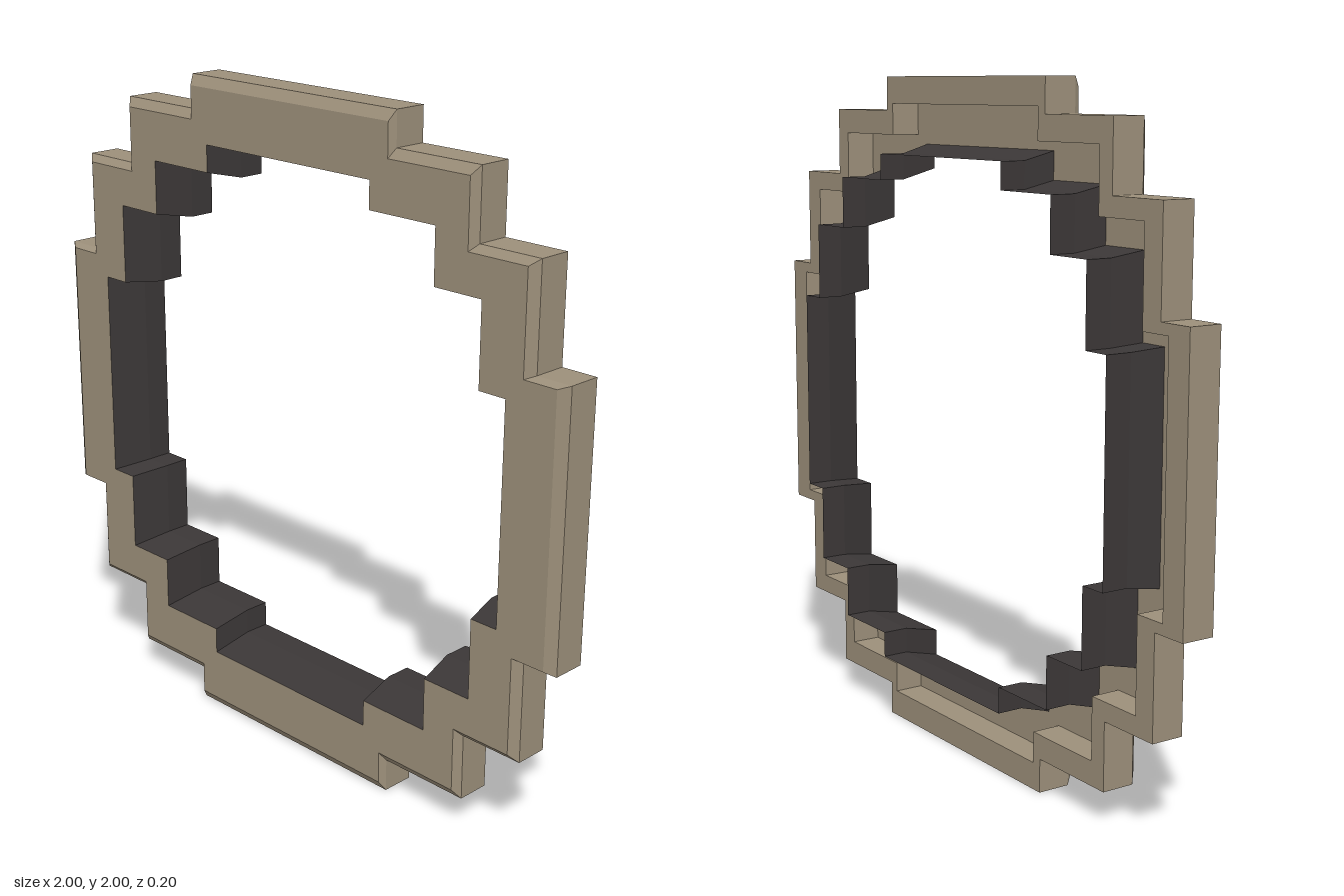
import * as THREE from 'three';

// One quarter of the stepped outline; mirrored below into a full loop
const QUARTER = [[1, 0.4], [0.89, 0.4], [0.89, 0.7], [0.69, 0.7], [0.69, 0.9], [0.4, 0.9], [0.4, 1]];

function steppedOutline() {
  const mirror = (pts, sx, sy) => pts.map(([x, y]) => [x * sx, y * sy]);
  const back = [...QUARTER].reverse();
  return [...QUARTER, ...mirror(back, -1, 1), ...mirror(QUARTER, -1, -1), ...mirror(back, 1, -1)];
}

// Sweeps a [scale, z] profile around the outline, with flat faces
function loft(profile) {
  const outline = steppedOutline();
  const n = outline.length;
  const pos = [];
  const point = (i, [s, z]) => [outline[i % n][0] * s, outline[i % n][1] * s, z];
  for (let j = 0; j < profile.length - 1; j++) {
    for (let i = 0; i < n; i++) {
      const a = point(i, profile[j]), b = point(i + 1, profile[j]);
      const c = point(i + 1, profile[j + 1]), d = point(i, profile[j + 1]);
      pos.push(...a, ...b, ...c, ...a, ...c, ...d);
    }
  }
  const geo = new THREE.BufferGeometry();
  geo.setAttribute('position', new THREE.Float32BufferAttribute(pos, 3));
  geo.computeVertexNormals();
  return geo;
}

export function createModel() {
  const tan = new THREE.MeshStandardMaterial({ color: 0x9c8f7a, flatShading: true });
  tan.name = 'tan frame';
  const dark = new THREE.MeshStandardMaterial({ color: 0x3b3737, flatShading: true, side: THREE.DoubleSide });
  dark.name = 'dark lining';

  const group = new THREE.Group();
  group.name = 'steppedRingFrame';

  // Outer frame: chamfered front, raised rim around a hollow back
  const frame = new THREE.Mesh(loft([
    [0.8, 0.07], [0.92, 0.07], [0.92, -0.02], [1, -0.02], [1, 0.08], [0.97, 0.1], [0.808, 0.1],
  ]), tan);
  frame.name = 'outerFrame';

  // Thin lining: tapers through the frame, then runs straight out of the back
  const lining = new THREE.Mesh(loft([[0.808, 0.1], [0.775, -0.02], [0.775, -0.1]]), dark);
  lining.name = 'innerLining';

  for (const part of [frame, lining]) {
    part.position.y = 1;
    group.add(part);
  }
  return group;
}
